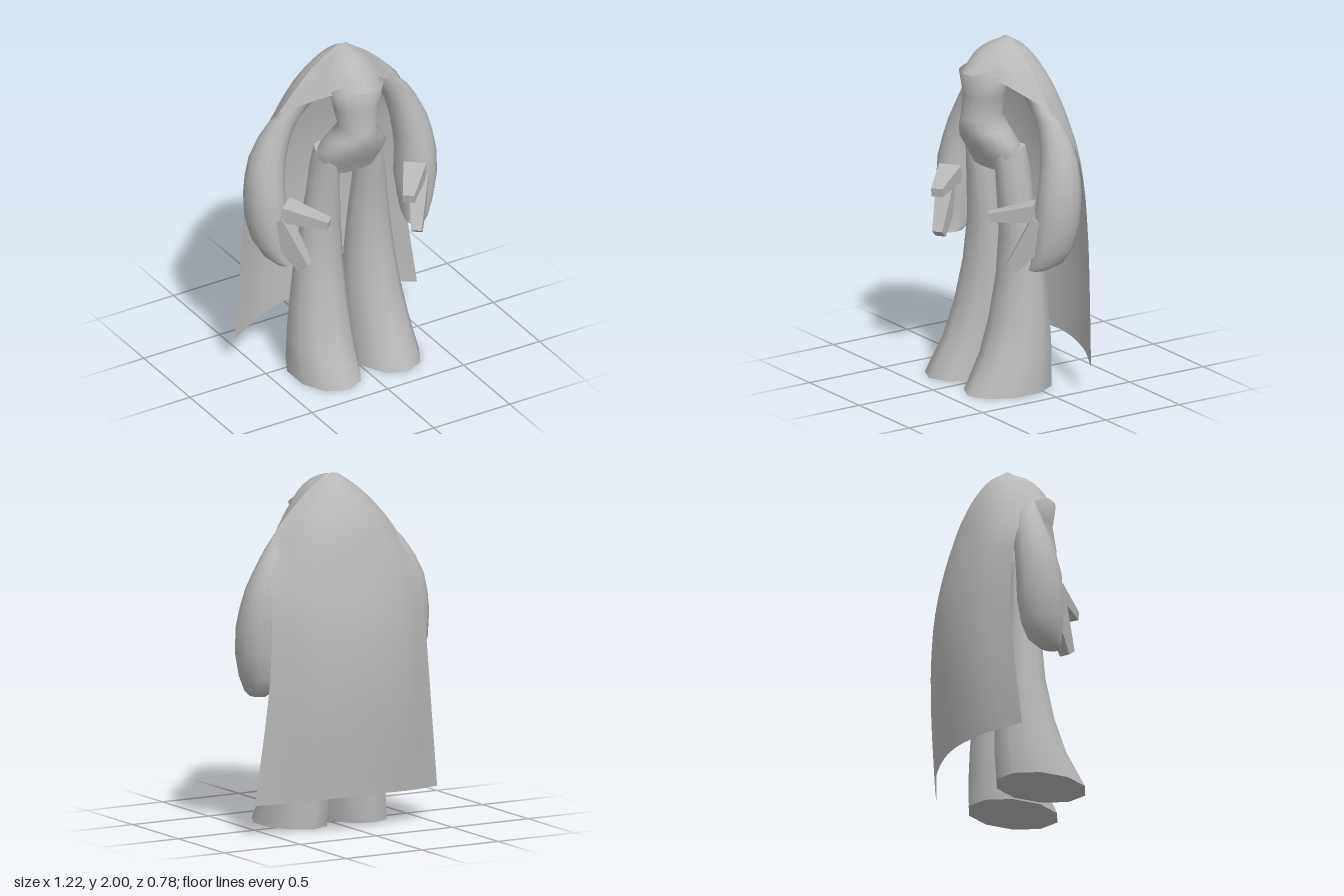
import * as THREE from 'three';

const grey = new THREE.MeshStandardMaterial({ color: 0xb8b8b8 });
grey.name = 'plain grey';
const greyCloth = new THREE.MeshStandardMaterial({ color: 0xb8b8b8, side: THREE.DoubleSide });
greyCloth.name = 'plain grey cloth';

function build(pos, idx) {
  const g = new THREE.BufferGeometry();
  g.setAttribute('position', new THREE.Float32BufferAttribute(pos, 3));
  g.setIndex(idx);
  g.computeVertexNormals();
  return g;
}

// Closed body through elliptical rings [y, x0, x1, z0, z1], listed bottom to top
function loft(rings, sides) {
  const pos = [], idx = [];
  const addRing = ([y, x0, x1, z0, z1]) => {
    for (let i = 0; i < sides; i++) {
      const a = (i / sides) * Math.PI * 2;
      pos.push((x0 + x1) / 2 + (x1 - x0) / 2 * Math.sin(a), y, (z0 + z1) / 2 + (z1 - z0) / 2 * Math.cos(a));
    }
  };
  rings.forEach(addRing);
  for (let r = 0; r < rings.length - 1; r++) {
    for (let i = 0; i < sides; i++) {
      const j = (i + 1) % sides, a = r * sides, b = a + sides;
      idx.push(a + i, a + j, b + j, a + i, b + j, b + i);
    }
  }
  // flat end caps with their own vertices
  [rings[0], rings[rings.length - 1]].forEach((ring, top) => {
    const s = pos.length / 3;
    addRing(ring);
    for (let i = 1; i < sides - 1; i++) {
      if (top) idx.push(s, s + i, s + i + 1);
      else idx.push(s, s + i + 1, s + i);
    }
  });
  return build(pos, idx);
}

// Tapered block from one point to another
function finger(from, to, w0, h0, w1, h1) {
  const a = new THREE.Vector3(...from), b = new THREE.Vector3(...to);
  const g = new THREE.BoxGeometry(1, 1, a.distanceTo(b));
  const p = g.attributes.position;
  for (let i = 0; i < p.count; i++) {
    const tip = p.getZ(i) > 0;
    p.setX(i, p.getX(i) * (tip ? w1 : w0));
    p.setY(i, p.getY(i) * (tip ? h1 : h0));
  }
  g.applyMatrix4(new THREE.Matrix4().lookAt(b, a, new THREE.Vector3(0, 1, 0)));
  g.translate((a.x + b.x) / 2, (a.y + b.y) / 2, (a.z + b.z) / 2);
  g.computeVertexNormals();
  return g;
}

// Copy on the other side of x = 0
function mirrored(geo) {
  const g = geo.clone().scale(-1, 1, 1);
  const ix = g.index;
  for (let i = 0; i < ix.count; i += 3) {
    const t = ix.getX(i);
    ix.setX(i, ix.getX(i + 1));
    ix.setX(i + 1, t);
  }
  g.computeVertexNormals();
  return g;
}

// Symmetric cloth through downward columns, listed from the left edge to the centre line
function cloth(columns, rows, across) {
  const v = columns.map(c => c.map(p => new THREE.Vector3(...p)));
  const flipped = v.slice(0, -1).reverse().map(c => c.map(p => new THREE.Vector3(-p.x, p.y, p.z)));
  const curves = [...v, ...flipped].map(c => new THREE.CatmullRomCurve3(c));
  const pos = [], idx = [];
  for (let r = 0; r <= rows; r++) {
    const row = new THREE.CatmullRomCurve3(curves.map(c => c.getPoint(r / rows)));
    for (let k = 0; k <= across; k++) pos.push(...row.getPoint(k / across).toArray());
  }
  for (let r = 0; r < rows; r++) {
    for (let k = 0; k < across; k++) {
      const a = r * (across + 1) + k, b = a + across + 1;
      idx.push(a, a + 1, b + 1, a, b + 1, b);
    }
  }
  return build(pos, idx);
}

export function createModel() {
  const model = new THREE.Group();
  model.name = 'cloakedFigure';
  const add = (name, geo, mat = grey) => {
    const m = new THREE.Mesh(geo, mat);
    m.name = name;
    model.add(m);
  };
  const pair = (name, geo) => {
    add('left' + name, geo);
    add('right' + name, mirrored(geo));
  };

  // Hips, narrow waist and chest
  add('torso', loft([
    [1.27, -0.2, 0.2, -0.05, 0.17],
    [1.34, -0.21, 0.21, -0.045, 0.205],
    [1.42, -0.21, 0.21, -0.03, 0.26],
    [1.5, -0.155, 0.155, 0.01, 0.29],
    [1.57, -0.106, 0.106, 0.045, 0.295],
    [1.7, -0.138, 0.138, 0.045, 0.265],
    [1.82, -0.168, 0.168, 0.03, 0.28],
    [1.88, -0.1, 0.1, 0.04, 0.2],
  ], 16));

  // Flared legs
  pair('Leg', loft([
    [0, 0, 0.392, -0.15, 0.395],
    [0.2, 0, 0.37, -0.15, 0.275],
    [0.4, 0.006, 0.343, -0.142, 0.205],
    [0.65, 0.02, 0.312, -0.118, 0.152],
    [0.9, 0.036, 0.28, -0.082, 0.132],
    [1.1, 0.052, 0.252, -0.06, 0.148],
    [1.28, 0.065, 0.226, -0.05, 0.165],
    [1.4, 0.07, 0.205, -0.03, 0.18],
  ], 10));

  // Arms bowing outwards into mitten hands
  pair('Arm', loft([
    [0.755, 0.39, 0.48, 0.01, 0.135],
    [0.79, 0.39, 0.525, -0.07, 0.135],
    [0.88, 0.385, 0.575, -0.12, 0.13],
    [1.02, 0.37, 0.61, -0.145, 0.125],
    [1.17, 0.383, 0.612, -0.155, 0.11],
    [1.28, 0.375, 0.597, -0.155, 0.085],
    [1.39, 0.358, 0.57, -0.15, 0.06],
    [1.5, 0.325, 0.515, -0.132, 0.04],
    [1.6, 0.28, 0.45, -0.1, 0.03],
    [1.7, 0.2, 0.355, -0.04, 0.035],
    [1.77, 0.15, 0.26, 0.0, 0.06],
  ], 12));
  pair('Thumb', finger([0.43, 1.1, 0.09], [0.262, 1.06, 0.295], 0.13, 0.1, 0.066, 0.05));
  pair('FrontFinger', finger([0.48, 1.03, 0.06], [0.368, 0.772, 0.21], 0.11, 0.17, 0.06, 0.075));

  // Cloak: long back panel and a hood over the shoulders and chest
  const side = [
    [0.04, 2, -0.01], [0.18, 1.9, -0.02], [0.3, 1.785, -0.02], [0.4, 1.66, -0.03], [0.48, 1.42, -0.15],
    [0.5, 1.2, -0.19], [0.52, 0.9, -0.205], [0.55, 0.6, -0.195], [0.6, 0.175, -0.17],
  ];
  add('cape', cloth([
    side,
    [[0.03, 2, -0.015], [0.1, 1.93, -0.08], [0.18, 1.83, -0.13], [0.24, 1.69, -0.19], [0.28, 1.45, -0.265],
      [0.29, 1.2, -0.315], [0.29, 0.9, -0.34], [0.3, 0.6, -0.335], [0.32, 0.195, -0.3]],
    [[0, 2, -0.02], [0, 1.95, -0.1], [0, 1.85, -0.18], [0, 1.7, -0.25], [0, 1.45, -0.32],
      [0, 1.2, -0.37], [0, 0.9, -0.39], [0, 0.6, -0.382], [0, 0.21, -0.355]],
  ], 24, 16), greyCloth);
  add('hood', cloth([
    side.slice(0, 4),
    [[0.03, 2, 0], [0.13, 1.93, 0.03], [0.22, 1.83, 0.05], [0.3, 1.73, 0.06]],
    [[0.02, 2, 0], [0.08, 1.96, 0.08], [0.12, 1.9, 0.14], [0.15, 1.815, 0.18]],
    [[0, 2, 0], [0, 1.98, 0.09], [0, 1.93, 0.19], [0, 1.83, 0.288]],
  ], 9, 18), greyCloth);
  add('hoodTip', new THREE.CircleGeometry(0.04, 10).rotateX(-Math.PI / 2).scale(1, 1, 0.35).translate(0, 1.999, -0.01), greyCloth);

  return model;
}
